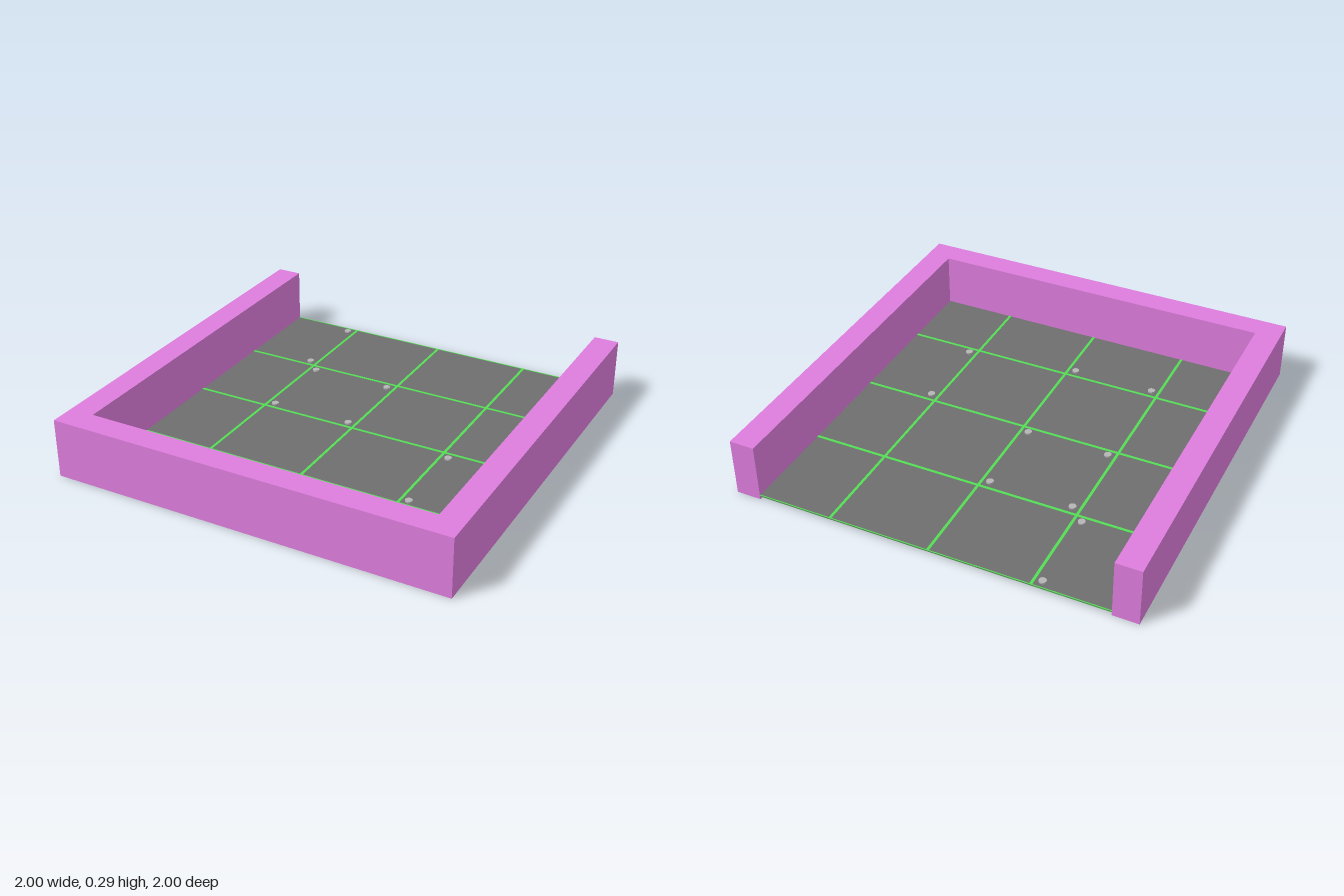
import * as THREE from 'three';

const material = (color) => new THREE.MeshStandardMaterial({ color });

export function createModel() {
  const model = new THREE.Group();
  const pink = material(0xdd7ddd);
  const grey = material(0x6e6e6e);
  const green = material(0x55dd55);
  const steel = material(0xb4b4b4);

  const WALL = 0.125, HEIGHT = 0.295, INNER = 1 - WALL, FLOOR_Y = 0.02;

  function add(name, geometry, mat, x, y, z) {
    const mesh = new THREE.Mesh(geometry, mat);
    mesh.name = name;
    mesh.position.set(x, y, z);
    model.add(mesh);
  }

  // U-shaped wall, open at the back
  const outline = new THREE.Shape([
    [-1, -1], [1, -1], [1, 1], [INNER, 1],
    [INNER, -INNER], [-INNER, -INNER], [-INNER, 1], [-1, 1],
  ].map(([x, y]) => new THREE.Vector2(x, y)));
  const wall = new THREE.ExtrudeGeometry(outline, { depth: HEIGHT, bevelEnabled: false });
  wall.rotateX(-Math.PI / 2);
  add('wall', wall, pink, 0, 0, 0);

  // Thin floor, raised a little above the bottom of the wall
  const depth = 1 + INNER, midZ = (INNER - 1) / 2;
  add('floor', new THREE.BoxGeometry(2 * INNER, 0.004, depth), grey, 0, FLOOR_Y, midZ);

  // Grid strips, showing on both faces of the floor
  const STRIP = 0.014;
  for (const p of [-0.5, 0, 0.5]) {
    add('lengthStrip', new THREE.BoxGeometry(STRIP, 0.007, depth), green, p, FLOOR_Y, midZ);
    add('crossStrip', new THREE.BoxGeometry(2 * INNER, 0.0074, STRIP), green, 0, FLOOR_Y, p - 0.004);
  }
  add('backEdgeStrip', new THREE.BoxGeometry(2 * INNER, 0.0074, 0.005), green, 0, FLOOR_Y, -0.9975);

  // Small studs set in cell corners, passing through the floor
  const stud = new THREE.CylinderGeometry(0.018, 0.018, 0.014, 20);
  const studs = [
    [-0.54, -0.96], [-0.54, -0.54],
    [-0.46, -0.46], [-0.04, -0.46], [-0.46, -0.04], [-0.04, -0.04],
    [0.54, 0.04], [0.54, 0.46],
    [-0.46, 0.54], [-0.04, 0.54],
  ];
  for (const [x, z] of studs) add('stud', stud, steel, x, FLOOR_Y + 0.003, z);

  return model;
}
